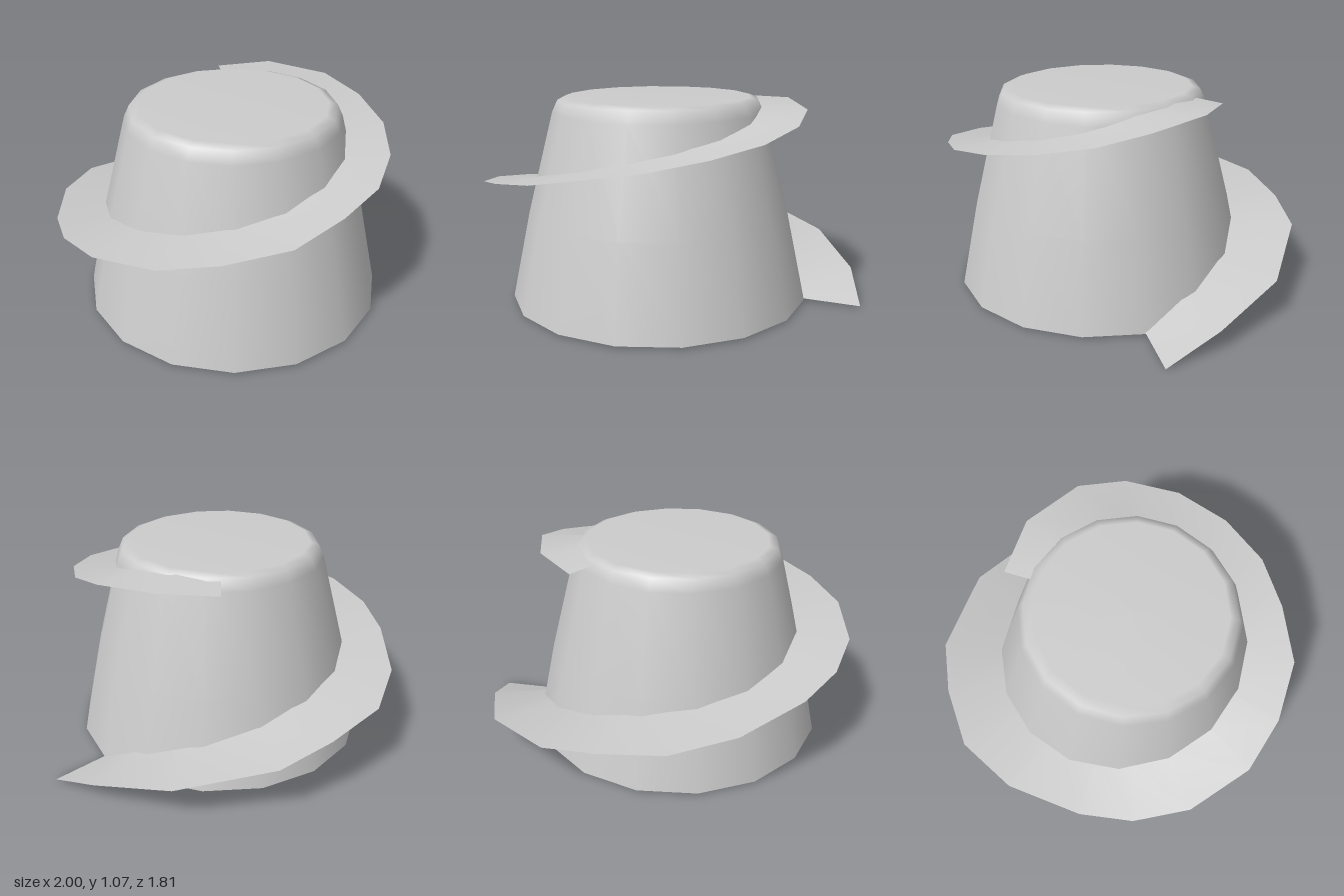
import * as THREE from 'three';

// Tower wall profile from the open foot to the centre of the cap: [radius, y]
const PROFILE = [[0.785, 0.01], [0.685, 0.47], [0.55, 0.99], [0.522, 1.05], [0.478, 1.066], [0, 1.066]];

// Outer edge of the spiral ramp: [degrees anticlockwise from +x, radius, y]
const EDGE = [
  [0, 1.075, 0], [16, 1.056, 0.11], [39.4, 1.055, 0.21], [66.6, 1.046, 0.31], [83, 1.013, 0.365],
  [102, 1.013, 0.41], [121.6, 0.963, 0.45], [146, 0.92, 0.5], [163, 0.925, 0.545], [181, 0.925, 0.59],
  [203, 0.909, 0.64], [221.5, 0.875, 0.685], [242, 0.861, 0.73], [262, 0.81, 0.78], [281, 0.805, 0.82],
  [301, 0.79, 0.865], [322, 0.785, 0.91], [343, 0.78, 0.96], [362, 0.765, 1.01], [388, 0.72, 1.035], [412, 0.66, 1.02],
];

// Wall radius at a given height
function wallRadius(y) {
  for (let i = 1; i < 5; i++) {
    const [r0, y0] = PROFILE[i - 1], [r1, y1] = PROFILE[i];
    if (y <= y1) return THREE.MathUtils.mapLinear(Math.max(y, y0), y0, y1, r0, r1);
  }
  return PROFILE[4][0];
}

// Thin strip between the wall and the outer edge
function rampGeometry() {
  const positions = [], index = [];
  EDGE.forEach(([deg, r, y], i) => {
    const a = THREE.MathUtils.degToRad(deg), c = Math.cos(a), s = -Math.sin(a);
    const yIn = y + 0.018, rIn = wallRadius(yIn) - 0.025;
    positions.push(rIn * c, yIn, rIn * s, r * c, y, r * s);
    if (i > 0) {
      const k = 2 * i - 2;
      index.push(k, k + 1, k + 3, k, k + 3, k + 2);
    }
  });
  const g = new THREE.BufferGeometry();
  g.setAttribute('position', new THREE.Float32BufferAttribute(positions, 3));
  g.setIndex(index);
  g.computeVertexNormals();
  return g;
}

export function createModel() {
  const group = new THREE.Group();
  const material = new THREE.MeshStandardMaterial({ color: 0xcccccc, side: THREE.DoubleSide });

  // Tapered tower, capped above and open below
  const points = PROFILE.map(([r, y]) => new THREE.Vector2(r, y));
  const tower = new THREE.Mesh(new THREE.LatheGeometry(points, 16), material);
  tower.name = 'tower';

  // Ramp climbing a little more than one turn
  const ramp = new THREE.Mesh(rampGeometry(), material);
  ramp.name = 'spiralRamp';

  group.add(tower, ramp);
  group.children.forEach((m) => m.position.set(-0.075, 0, 0.1));
  return group;
}
